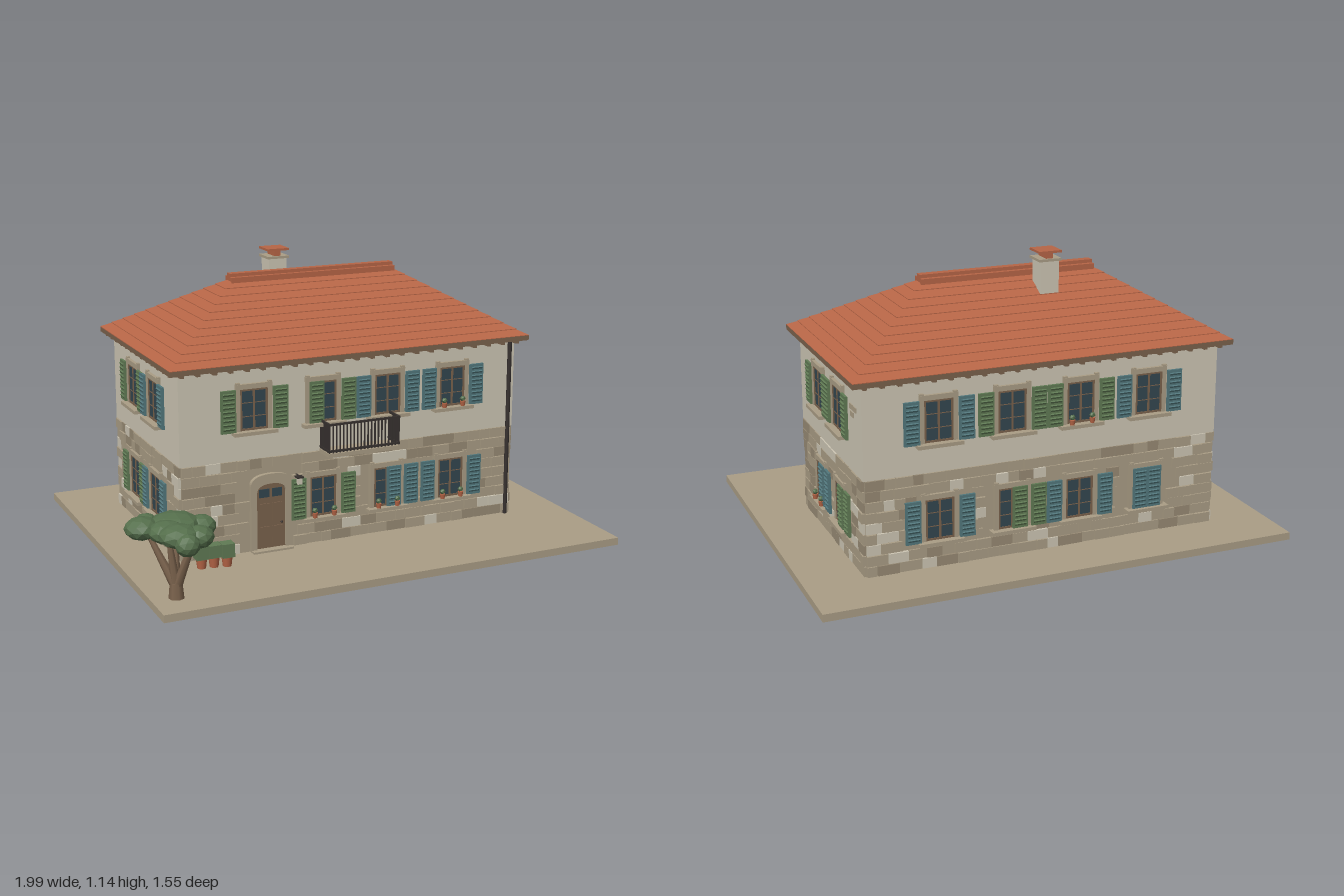
import * as THREE from 'three';
import { mergeGeometries } from 'three/addons/utils/BufferGeometryUtils.js';

const mat = (name, color, extra = {}) => Object.assign(new THREE.MeshStandardMaterial({ color, ...extra }), { name });
const M = {
  plaster: mat('plaster', 0xcdc6b4),
  stone: mat('stone', 0xaa9d85),
  darkStone: mat('dark stone', 0x978a74),
  roof: mat('terracotta', 0xb66546),
  green: mat('green paint', 0x607a54),
  teal: mat('teal paint', 0x52777c),
  glass: mat('glass', 0x33464f),
  wood: mat('wood', 0x7a624c),
  iron: mat('iron', 0x37312f),
  leaf: mat('foliage', 0x556f4c),
};
// Wall block: width, depth, centre and heights
const W = 1.45, D = 0.795, CX = 0.035, CZ = -0.143, BASE = 0.03, MID = 0.41, EAVE = 0.78;

function add(parent, name, material, geometry, x = 0, y = 0, z = 0) {
  const m = new THREE.Mesh(geometry, material);
  m.name = name;
  m.position.set(x, y, z);
  parent.add(m);
  return m;
}
const box = (parent, name, material, w, h, d, x, y, z) =>
  add(parent, name, material, new THREE.BoxGeometry(w, h, d), x, y, z);
function group(parent, name, x = 0, y = 0, z = 0) {
  const g = new THREE.Group();
  g.name = name;
  g.position.set(x, y, z);
  parent.add(g);
  return g;
}
function seeded(seed) {
  return () => (seed = (seed * 16807) % 2147483647) / 2147483647;
}
// Tapered rod between two points
function rod(parent, name, material, a, b, r0, r1, sides = 7) {
  const p = new THREE.Vector3(...a), q = new THREE.Vector3(...b), d = q.clone().sub(p);
  const m = add(parent, name, material, new THREE.CylinderGeometry(r1, r0, d.length(), sides));
  m.position.copy(p).addScaledVector(d, 0.5);
  m.quaternion.setFromUnitVectors(new THREE.Vector3(0, 1, 0), d.normalize());
}

// Louvred shutter
function shutter(parent, material, x) {
  const g = group(parent, 'shutter', x, 0, 0.014);
  box(g, 'shutterPanel', material, 0.061, 0.168, 0.01, 0, 0, 0);
  for (let i = 0; i < 9; i++) {
    box(g, 'slat', material, 0.047, 0.008, 0.006, 0, -0.068 + i * 0.017, 0.006).rotation.x = 0.5;
  }
}
function flowerPot(parent, x, y, z, s = 1) {
  const g = group(parent, 'flowerPot', x, y, z);
  g.scale.setScalar(s);
  add(g, 'pot', M.roof, new THREE.CylinderGeometry(0.012, 0.009, 0.02, 8), 0, 0.01, 0);
  add(g, 'plant', M.leaf, new THREE.IcosahedronGeometry(0.012, 0), 0, 0.03, 0);
}
// Window; shutters lists their sideways offsets
function windowUnit(wall, x, y, paint, shutters, pots) {
  const g = group(wall, 'window', x, y, 0);
  box(g, 'glass', M.glass, 0.114, 0.165, 0.008, 0, 0, 0.002);
  for (const s of [-1, 1]) {
    box(g, 'surroundSide', M.stone, 0.017, 0.2, 0.018, s * 0.066, 0.008, 0.003);
    box(g, 'frameSide', M.wood, 0.008, 0.165, 0.012, s * 0.053, 0, 0.003);
    box(g, 'frameRail', M.wood, 0.114, 0.008, 0.012, 0, s * 0.078, 0.003);
    box(g, 'glazingBar', M.wood, 0.1, 0.003, 0.01, 0, s * 0.027, 0.003);
  }
  box(g, 'mullion', M.wood, 0.008, 0.165, 0.012, 0, 0, 0.003);
  box(g, 'lintel', M.stone, 0.15, 0.02, 0.02, 0, 0.092, 0.003);
  box(g, 'sill', M.stone, 0.18, 0.014, 0.045, 0, -0.09, 0.012);
  shutters.forEach(s => shutter(g, M[paint], s));
  if (pots) for (const s of [-0.042, 0.042]) flowerPot(g, s, -0.083, 0.024);
}
// Coursed masonry on the ground floor, leaving openings free
function masonry(wall, width, openings, seed) {
  const rnd = seeded(seed), sets = { stone: [], plaster: [], darkStone: [] }, rows = 9, rh = (MID - BASE) / rows;
  for (let r = 0; r < rows; r++) {
    const y = BASE + (r + 0.5) * rh;
    for (let x = -width / 2; x < width / 2 - 0.005;) {
      let w = 0.04 + rnd() * 0.05;
      if (x + w > width / 2 - 0.03) w = width / 2 - x;
      const pick = rnd(), depth = 0.006 + rnd() * 0.007, c = x + w / 2;
      const blocked = openings.some(([l, rr, b, t]) => c + w / 2 > l && c - w / 2 < rr && y + rh / 2 > b && y - rh / 2 < t);
      if (!blocked) {
        const kind = pick < 0.66 ? 'stone' : pick < 0.8 ? 'plaster' : 'darkStone';
        sets[kind].push(new THREE.BoxGeometry(w - 0.003, rh - 0.003, depth).translate(c, y, depth / 2));
      }
      x += w;
    }
  }
  for (const k in sets) if (sets[k].length) add(wall, k + 'Blocks', M[k], mergeGeometries(sets[k]));
}
function arch(w, h) {
  const s = new THREE.Shape();
  s.moveTo(-w / 2, 0);
  s.lineTo(w / 2, 0);
  s.lineTo(w / 2, h * 0.86);
  s.quadraticCurveTo(w / 2, h, 0, h);
  s.quadraticCurveTo(-w / 2, h, -w / 2, h * 0.86);
  s.lineTo(-w / 2, 0);
  return s;
}
function door(wall, x) {
  const g = group(wall, 'door', x, BASE, 0);
  const surround = arch(0.172, 0.315);
  surround.holes.push(arch(0.122, 0.275));
  add(g, 'doorSurround', M.stone, new THREE.ExtrudeGeometry(surround, { depth: 0.018, bevelEnabled: false }));
  add(g, 'doorLeaf', M.wood, new THREE.ExtrudeGeometry(arch(0.122, 0.275), { depth: 0.008, bevelEnabled: false }));
  for (const s of [-1, 1]) {
    box(g, 'doorPane', M.glass, 0.042, 0.034, 0.004, s * 0.027, 0.235, 0.009);
    for (const y of [0.06, 0.155]) box(g, 'doorPanel', M.wood, 0.042, 0.075, 0.006, s * 0.027, y, 0.009);
  }
  add(g, 'doorKnob', M.iron, new THREE.SphereGeometry(0.005, 8, 6), 0.045, 0.11, 0.013);
  box(g, 'doorstep', M.stone, 0.17, 0.008, 0.04, 0, 0.004, 0.02);
}
// Rectangular hipped roof with slightly stepped tile courses
function hipRoof() {
  const pos = [], n = 11;
  const ring = (t, y) => {
    const hx = 0.775 + (0.365 - 0.775) * t, hz = 0.446 + (0.02 - 0.446) * t;
    return [[-hx, y, hz], [hx, y, hz], [hx, y, -hz], [-hx, y, -hz]];
  };
  const bridge = (a, b) => {
    for (let k = 0; k < 4; k++) {
      const j = (k + 1) % 4;
      pos.push(...a[k], ...a[j], ...b[j], ...a[k], ...b[j], ...b[k]);
    }
  };
  const yAt = t => 0.797 + 0.24 * t;
  for (let i = 0; i < n; i++) {
    const lo = ring(i / n, yAt(i / n) + 0.003), hi = ring((i + 1) / n, yAt((i + 1) / n));
    bridge(ring(i / n, yAt(i / n)), lo);
    bridge(lo, hi);
  }
  const g = new THREE.BufferGeometry();
  g.setAttribute('position', new THREE.Float32BufferAttribute(pos, 3));
  g.computeVertexNormals();
  return g;
}

export function createModel() {
  const root = new THREE.Group();
  root.name = 'stoneHouse';
  box(root, 'ground', M.stone, 1.925, BASE, 1.5, 0.0375, BASE / 2, -0.03);

  // Walls
  box(root, 'groundFloor', M.stone, W, MID - BASE, D, CX, (MID + BASE) / 2, CZ);
  box(root, 'upperFloor', M.plaster, W + 0.012, EAVE - MID, D + 0.012, CX, (EAVE + MID) / 2, CZ);

  const OPEN = [-0.108, 0.108], RIGHT = [0.03, 0.108], LEFT = [-0.03, 0.108], UP = 0.612, LOW = 0.225;
  // Each window: position, height, paint, shutter offsets, flower pots
  const walls = [
    ['frontWall', 0, W, D, [
      [-0.428, UP, 'green', OPEN], [-0.137, UP, 'green', LEFT], [0.145, UP, 'teal', OPEN], [0.438, UP, 'teal', OPEN, 1],
      [-0.137, LOW, 'green', OPEN, 1], [0.145, LOW, 'teal', RIGHT, 1], [0.438, LOW, 'teal', OPEN, 1]]],
    ['rightWall', Math.PI / 2, D, W, [
      [-0.128, UP, 'green', OPEN], [0.128, UP, 'green', OPEN],
      [-0.128, LOW, 'teal', RIGHT, 1], [0.128, LOW, 'green', RIGHT]]],
    ['backWall', Math.PI, W, D, [
      [-0.438, UP, 'teal', OPEN], [-0.145, UP, 'green', OPEN], [0.137, UP, 'green', OPEN, 1], [0.428, UP, 'teal', OPEN],
      [-0.438, LOW, 'teal', OPEN], [-0.145, LOW, 'green', RIGHT], [0.137, LOW, 'teal', OPEN], [0.428, LOW, 'teal', [-0.03, 0.03]]]],
    ['leftWall', -Math.PI / 2, D, W, [
      [-0.128, UP, 'green', OPEN], [0.128, UP, 'teal', OPEN],
      [-0.128, LOW, 'green', OPEN], [0.128, LOW, 'teal', OPEN]]],
  ];
  walls.forEach(([name, angle, width, depth, windows], i) => {
    const wall = group(root, name, CX + Math.sin(angle) * depth / 2, 0, CZ + Math.cos(angle) * depth / 2);
    wall.rotation.y = angle;
    const openings = windows.filter(w => w[1] === LOW).map(w => [w[0] - 0.075, w[0] + 0.075, 0.13, 0.325]);
    if (i === 0) {
      openings.push([-0.446, -0.274, 0, 0.34]);
      door(wall, -0.36);
    }
    masonry(wall, width, openings, 101 + i * 77);
    for (const w of windows) {
      const unit = group(wall, 'windowBay', 0, 0, 0.006);
      windowUnit(unit, ...w);
    }
    // Rafter tails under the eaves
    const count = Math.round(width / 0.066);
    for (let k = 0; k <= count; k++) {
      box(wall, 'rafterTail', M.wood, 0.016, 0.014, 0.04, -width / 2 + k * width / count, EAVE - 0.006, 0.02);
    }
  });
  // Bare bricks showing through the plaster
  [[-0.43, 0.665], [-0.47, 0.665], [-0.44, 0.638]].forEach(([z, y]) =>
    box(root, 'bareBrick', M.stone, 0.006, 0.02, 0.036, CX + W / 2 + 0.007, y, z));

  // Roof
  box(root, 'eaves', M.wood, 1.55, 0.02, 0.892, CX, 0.788, -0.145);
  add(root, 'roof', M.roof, hipRoof(), CX, 0, -0.145);
  box(root, 'ridgeBase', M.roof, 0.73, 0.022, 0.072, CX, 1.042, -0.148);
  box(root, 'ridgeCap', M.roof, 0.73, 0.015, 0.034, CX, 1.059, -0.148);

  // Chimney
  const chimney = group(root, 'chimney', -0.092, 0, -0.242);
  box(chimney, 'stack', M.plaster, 0.078, 0.17, 0.078, 0, 1.02, 0);
  box(chimney, 'stackSlab', M.stone, 0.094, 0.01, 0.094, 0, 1.107, 0);
  box(chimney, 'flue', M.roof, 0.028, 0.026, 0.074, 0, 1.123, 0);
  box(chimney, 'chimneyCap', M.roof, 0.094, 0.009, 0.094, 0, 1.139, 0);

  // Balcony
  const balcony = group(root, 'balcony', 0.04, 0, 0.255);
  box(balcony, 'balconyFloor', M.stone, 0.31, 0.016, 0.098, 0, 0.411, 0.049);
  for (const y of [0.428, 0.535]) {
    box(balcony, 'frontRail', M.iron, 0.31, 0.008, 0.008, 0, y, 0.094);
    for (const s of [-1, 1]) box(balcony, 'sideRail', M.iron, 0.008, 0.008, 0.094, s * 0.151, y, 0.047);
  }
  for (let i = 0; i <= 20; i++) box(balcony, 'baluster', M.iron, 0.005, 0.115, 0.005, -0.151 + i * 0.0151, 0.478, 0.094);
  for (const s of [-1, 1]) for (let i = 0; i < 9; i++) box(balcony, 'baluster', M.iron, 0.005, 0.115, 0.006, s * 0.151, 0.478, 0.012 + i * 0.01);

  // Downpipe and door lamp
  add(root, 'downpipe', M.iron, new THREE.CylinderGeometry(0.009, 0.009, 0.75, 8), 0.742, 0.405, 0.266);
  const lamp = group(root, 'lamp', -0.213, 0.305, 0.255);
  box(lamp, 'lampArm', M.iron, 0.006, 0.006, 0.04, 0, 0.018, 0.02);
  box(lamp, 'lampCap', M.iron, 0.028, 0.006, 0.028, 0, 0.016, 0.032);
  box(lamp, 'lantern', M.plaster, 0.018, 0.026, 0.018, 0, 0, 0.032);

  // Potted shrubs by the wall
  [[-0.645, 0.342], [-0.596, 0.347], [-0.547, 0.358]].forEach(([x, z], i) => {
    const p = group(root, 'pottedShrub', x, BASE, z);
    add(p, 'pot', M.roof, new THREE.CylinderGeometry(0.022, 0.017, 0.042, 10), 0, 0.021, 0);
    box(p, 'shrub', M.green, 0.05, i === 1 ? 0.05 : 0.055, 0.046, 0, 0.066, 0);
  });

  // Tree: trunk, branches and flattened leaf clusters
  const tree = group(root, 'tree', -0.83, BASE, 0.585);
  rod(tree, 'trunk', M.wood, [0, 0, 0], [0, 0.06, 0], 0.03, 0.024);
  const clumps = [[-0.06, 0.22, -0.15, 0.048], [-0.1, 0.235, -0.075, 0.066], [0.02, 0.24, -0.06, 0.095],
    [0.115, 0.225, -0.04, 0.055], [-0.01, 0.24, 0.07, 0.075], [0.06, 0.23, 0.08, 0.058], [0, 0.225, 0.135, 0.046], [-0.03, 0.235, 0, 0.07]];
  clumps.forEach(([x, y, z, r], i) => {
    const c = add(tree, 'leafCluster', M.leaf, new THREE.IcosahedronGeometry(r, 1), x, y + 0.022, z);
    c.scale.y = 0.042 / r;
    c.rotation.y = i * 1.3;
    if (i % 2 === 1 || i === 2) rod(tree, 'branch', M.wood, [0, 0.04, 0], [x * 0.8, y, z * 0.8], 0.02, 0.009);
  });
  M.leaf.flatShading = true;
  return root;
}
